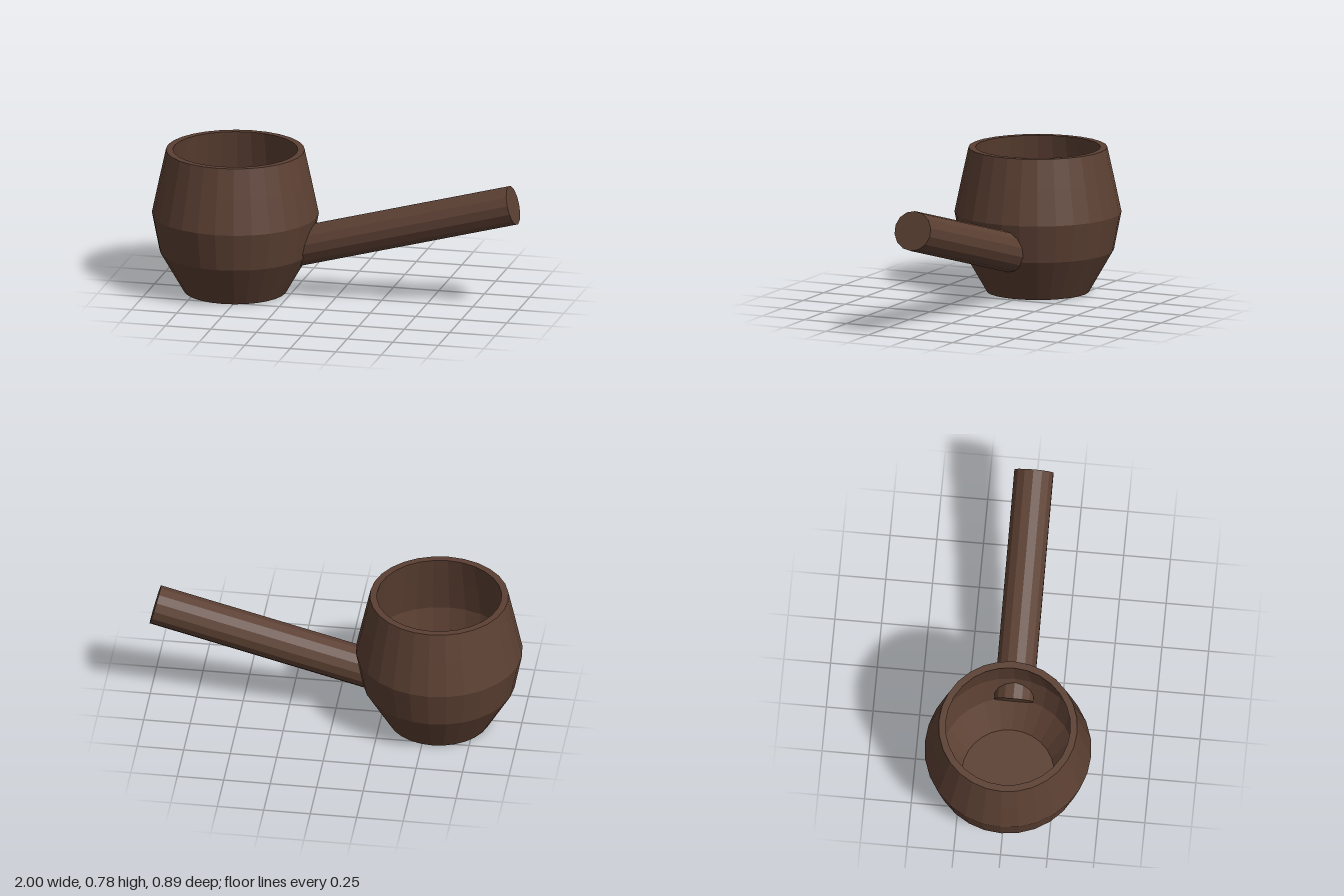
import * as THREE from 'three';

export function createModel() {
  const wood = new THREE.MeshStandardMaterial({ color: 0x5c4033 });
  wood.name = 'dark wood';
  const group = new THREE.Group();
  const add = (name, geometry) => {
    // unshared corners give every side its own flat normal
    const flat = geometry.toNonIndexed();
    flat.computeVertexNormals();
    const mesh = new THREE.Mesh(flat, wood);
    mesh.name = name;
    group.add(mesh);
    return mesh;
  };

  // Hollow bowl: outer wall going up, rim, then inner wall down to the floor
  const outer = [[0.275, 0], [0.405, 0.225], [0.445, 0.43], [0.405, 0.62], [0.37, 0.78]];
  const inner = outer.map(([r, y]) => [r * 0.9, Math.max(y, 0.05)]).reverse();
  const profile = [[0, 0], ...outer, ...inner, [0, 0.05]].map(([r, y]) => new THREE.Vector2(r, y));
  add('bowl', new THREE.LatheGeometry(profile, 28)).position.x = -0.555;

  // Straight stem rising at 15 degrees, its inner end passing through the wall
  const start = new THREE.Vector3(-0.218, 0.264, 0);
  const end = new THREE.Vector3(0.972, 0.58, 0);
  const geometry = new THREE.CylinderGeometry(0.107, 0.107, start.distanceTo(end), 14);
  geometry.rotateY(Math.PI / 2);
  const stem = add('stem', geometry);
  stem.position.copy(start).lerp(end, 0.5);
  stem.rotation.z = Math.atan2(end.y - start.y, end.x - start.x) - Math.PI / 2;

  return group;
}
